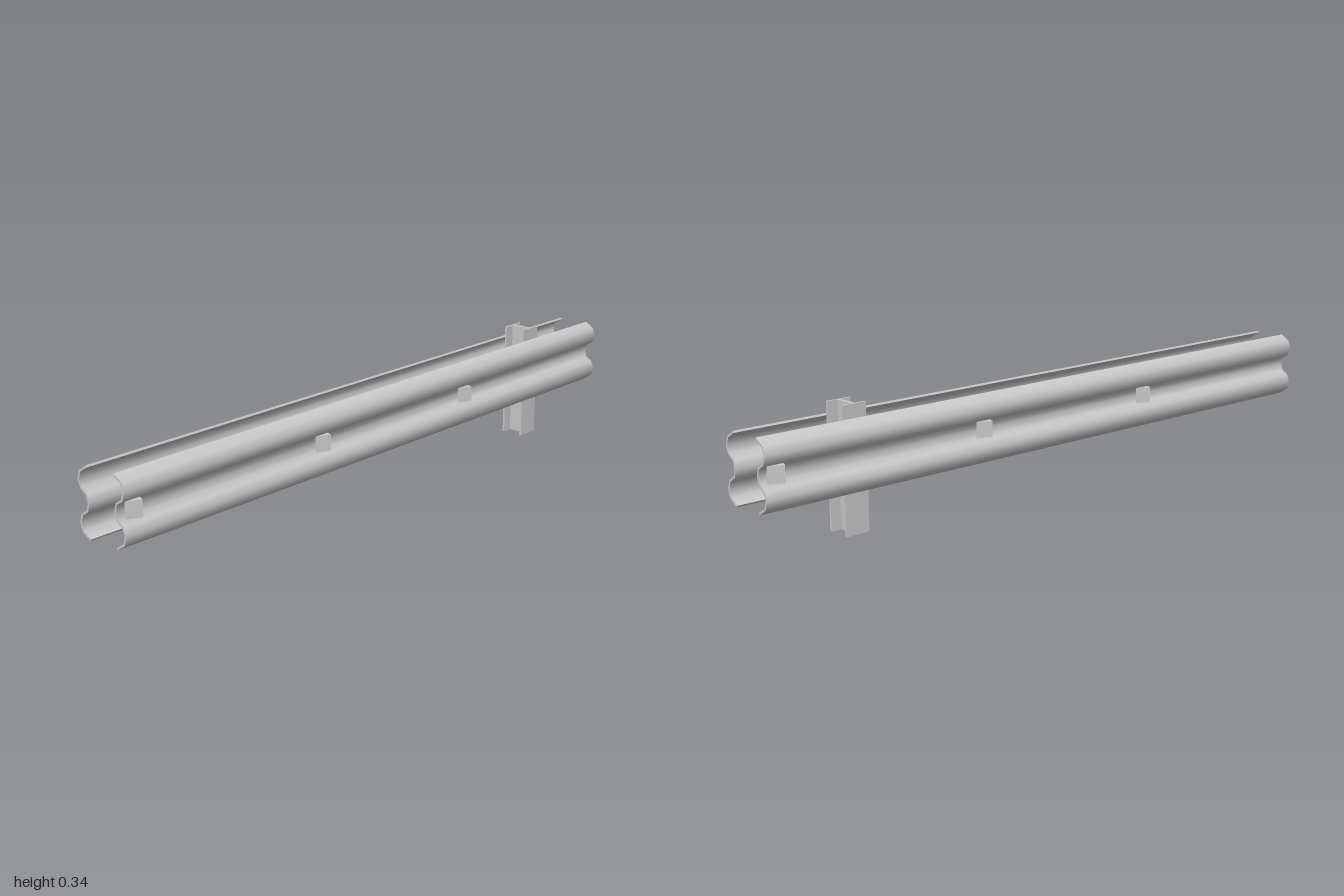
import * as THREE from 'three';
import { toCreasedNormals } from 'three/addons/utils/BufferGeometryUtils.js';

const material = new THREE.MeshStandardMaterial({ color: 0xcccccc });
const MID_Y = 0.213;

function addMesh(parent, geometry, name, x = 0, y = 0, z = 0) {
  const mesh = new THREE.Mesh(geometry, material);
  mesh.name = name;
  mesh.position.set(x, y, z);
  parent.add(mesh);
  return mesh;
}

// Corrugated sheet: the upper half of the centre line, mirrored, then thickened
function railGeometry(length, thickness) {
  const half = [[0.046, 0.094], [0.0725, 0.077], [0.0795, 0.055], [0.0715, 0.034], [0.0515, 0.021], [0.0465, 0]];
  const line = [...half, ...half.slice(0, -1).reverse().map(([x, y]) => [x, -y])]
    .map(([x, y]) => new THREE.Vector2(x, y));
  const offset = (side) => line.map((p, i) => {
    const a = line[Math.max(i - 1, 0)];
    const b = line[Math.min(i + 1, line.length - 1)];
    const t = b.clone().sub(a).normalize();
    return new THREE.Vector2(p.x - t.y * side, p.y + t.x * side);
  });
  const shape = new THREE.Shape([...offset(thickness / 2), ...offset(-thickness / 2).reverse()]);
  const geometry = new THREE.ExtrudeGeometry(shape, { depth: length, bevelEnabled: false });
  geometry.translate(0, 0, -length / 2);
  return toCreasedNormals(geometry, 0.9);
}

// Wedge reflector: a long sloping face and a short steep one
function reflectorGeometry(height) {
  const plan = new THREE.Shape([
    new THREE.Vector2(0.063, -0.024),
    new THREE.Vector2(0.082, 0.016),
    new THREE.Vector2(0.063, 0.024),
  ]);
  const geometry = new THREE.ExtrudeGeometry(plan, { depth: height, bevelEnabled: false });
  geometry.rotateX(-Math.PI / 2);
  geometry.translate(0, -height / 2, 0);
  return geometry;
}

export function createModel() {
  const model = new THREE.Group();
  model.name = 'guardrail';

  // Two facing rails, each with three reflectors in its valley
  const rail = railGeometry(1.996, 0.006);
  const reflector = reflectorGeometry(0.045);
  for (const [name, turn] of [['left', 0], ['right', Math.PI]]) {
    const side = new THREE.Group();
    side.name = name + 'Barrier';
    side.rotation.y = turn;
    addMesh(side, rail, name + 'Rail', 0, MID_Y, -0.002);
    [0.957, 0.297, -0.322].forEach((z, i) =>
      addMesh(side, reflector, name + 'Reflector' + (i + 1), 0, 0.216, z));
    model.add(side);
  }

  // I-beam post
  const post = new THREE.Group();
  post.name = 'post';
  post.position.set(0.0035, 0.1715, -0.696);
  const flange = new THREE.BoxGeometry(0.006, 0.343, 0.072);
  addMesh(post, flange, 'leftFlange', 0.0325);
  addMesh(post, flange, 'rightFlange', -0.0325);
  addMesh(post, new THREE.BoxGeometry(0.06, 0.343, 0.01), 'web');
  model.add(post);

  return model;
}
